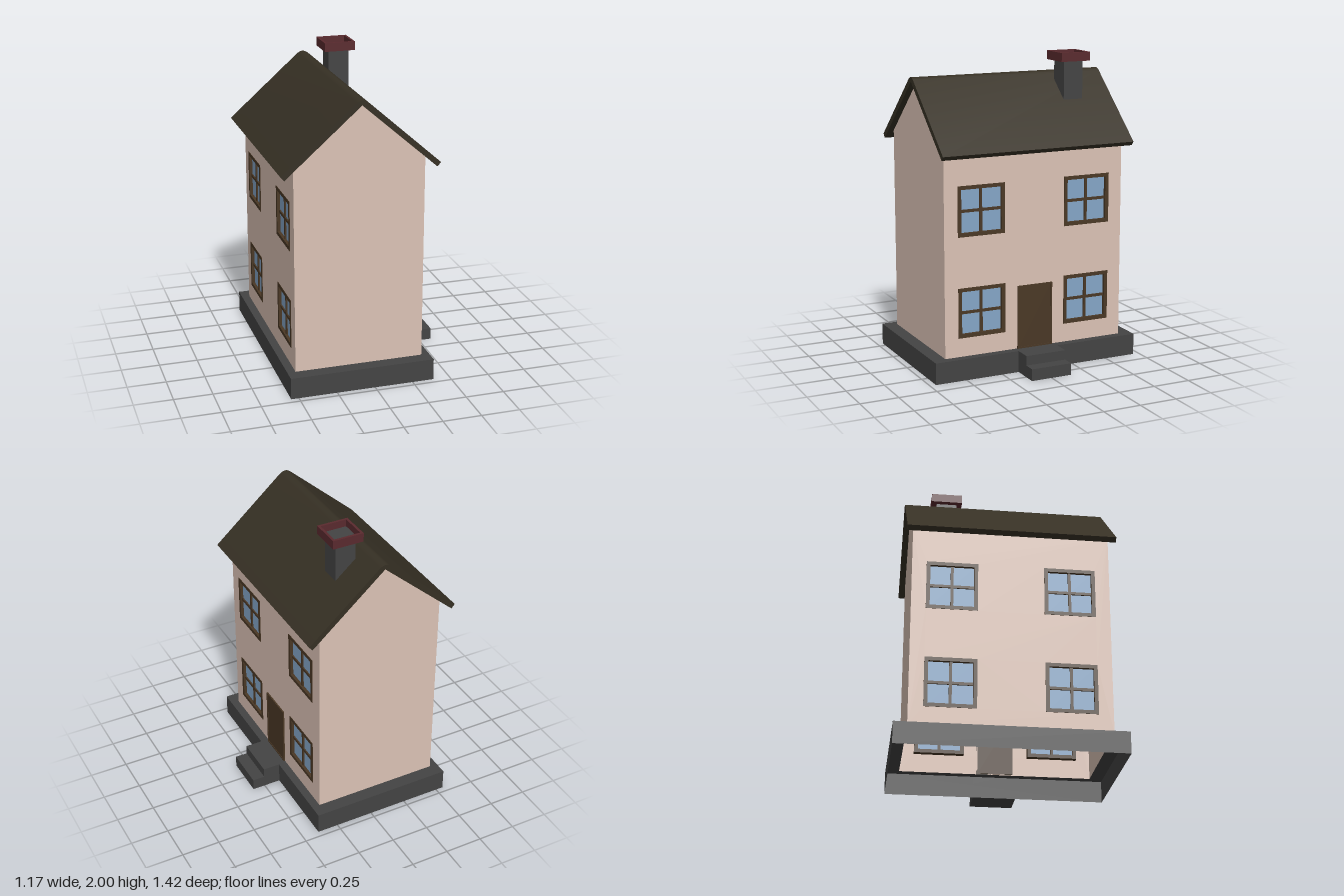
import * as THREE from 'three';
import { toCreasedNormals } from 'three/addons/utils/BufferGeometryUtils.js';

const mat = (color, side = THREE.FrontSide) => new THREE.MeshStandardMaterial({ color, side });
const plaster = mat(0xdcc3b6, THREE.DoubleSide);
const stone = mat(0x444444, THREE.DoubleSide);
const roofing = mat(0x363024);
const wood = mat(0x4a3825);
const glass = mat(0x85a6c8);
const brick = mat(0x5a2a2e);

const CX = -0.08;            // ridge line
const HALF_W = 0.417;        // half width of the house
const HALF_L = 0.623;        // half length of the house
const BASE_X = 0.47, BASE_Z = 0.71, BASE_Y = 0.14;
const EAVE_Y = 1.47, GABLE_Y = 1.836;

function add(parent, name, geometry, material, x = 0, y = 0, z = 0) {
  const mesh = new THREE.Mesh(geometry, material);
  mesh.name = name;
  mesh.position.set(x, y, z);
  parent.add(mesh);
  return mesh;
}

function box(parent, name, material, [x0, x1], [y0, y1], [z0, z1]) {
  return add(parent, name, new THREE.BoxGeometry(x1 - x0, y1 - y0, z1 - z0), material,
    (x0 + x1) / 2, (y0 + y1) / 2, (z0 + z1) / 2);
}

const poly = (points) => new THREE.Shape(points.map(([x, y]) => new THREE.Vector2(x, y)));

// Rectangle centred on (x, y)
const rect = (w, h, x = 0, y = 0) => poly([
  [x - w / 2, y - h / 2], [x + w / 2, y - h / 2], [x + w / 2, y + h / 2], [x - w / 2, y + h / 2]]);

// Rectangular border, extruded along z
function borderGeometry(w, h, t, depth) {
  const shape = rect(w, h);
  shape.holes.push(rect(w - 2 * t, h - 2 * t));
  return new THREE.ExtrudeGeometry(shape, { depth, bevelEnabled: false });
}

const WINDOW = 0.323;
function createWindow() {
  const g = new THREE.Group();
  g.name = 'window';
  add(g, 'windowFrame', borderGeometry(WINDOW, WINDOW, 0.024, 0.04), wood, 0, 0, -0.037);
  add(g, 'windowPane', new THREE.BoxGeometry(WINDOW - 0.048, WINDOW - 0.048, 0.006), glass, 0, 0, -0.02);
  add(g, 'verticalBar', new THREE.BoxGeometry(0.018, WINDOW - 0.048, 0.024), wood, 0, 0, -0.02);
  add(g, 'horizontalBar', new THREE.BoxGeometry(WINDOW - 0.048, 0.018, 0.024), wood, 0, 0, -0.02);
  return g;
}

// Long wall with four windows; local z points outwards
function createLongWall() {
  const g = new THREE.Group();
  g.name = 'longWall';
  const shape = rect(2 * HALF_L, EAVE_Y - BASE_Y, 0, (EAVE_Y + BASE_Y) / 2);
  for (const u of [-0.37, 0.37]) {
    for (const v of [0.423, 1.073]) {
      shape.holes.push(rect(WINDOW, WINDOW, u, v));
      const win = createWindow();
      win.position.set(u, v, 0);
      g.add(win);
    }
  }
  add(g, 'wallPanel', new THREE.ShapeGeometry(shape), plaster);
  return g;
}

function createDoor() {
  const g = new THREE.Group();
  g.name = 'door';
  const h = 0.415;
  add(g, 'doorFrame', borderGeometry(0.245, h, 0.01, 0.01), wood);
  add(g, 'doorPanel', new THREE.BoxGeometry(0.23, h - 0.01, 0.012), wood);
  g.position.set(CX + HALF_W, BASE_Y + h / 2, 0);
  g.rotation.y = Math.PI / 2;
  return g;
}

// Hollow plinth: four thin sides and a top rim, open underneath
function createBase() {
  const g = new THREE.Group();
  g.name = 'base';
  for (let i = 0; i < 4; i++) {
    const alongX = i % 2 === 0;
    const side = add(g, 'baseSide',
      new THREE.PlaneGeometry(2 * (alongX ? BASE_X : BASE_Z), BASE_Y).translate(0, BASE_Y / 2, alongX ? BASE_Z : BASE_X), stone);
    side.rotation.y = i * Math.PI / 2;
  }
  const rim = rect(2 * BASE_X, 2 * BASE_Z);
  rim.holes.push(rect(2 * HALF_W, 2 * HALF_L));
  add(g, 'baseRim', new THREE.ShapeGeometry(rim).rotateX(-Math.PI / 2), stone, 0, BASE_Y, 0);
  g.position.x = CX;
  return g;
}

// Folded roof with a rounded ridge
function createRoof() {
  const s = new THREE.Shape();
  s.moveTo(0.505, 1.44);
  s.lineTo(0.04, 1.85);
  s.quadraticCurveTo(0, 1.885, -0.04, 1.85);
  s.lineTo(-0.505, 1.44);
  s.lineTo(-0.482, 1.414);
  s.lineTo(0, 1.838);
  s.lineTo(0.482, 1.414);
  s.closePath();
  const geo = new THREE.ExtrudeGeometry(s, { depth: 1.324, bevelEnabled: false, curveSegments: 10 });
  const mesh = new THREE.Mesh(toCreasedNormals(geo, 0.5), roofing);
  mesh.name = 'roof';
  mesh.position.set(CX, 0, -0.662);
  return mesh;
}

function createChimney() {
  const g = new THREE.Group();
  g.name = 'chimney';
  const z = -0.375;
  // stack, its foot cut to the roof slope
  const stack = poly([[0, 1.8], [0.135, 1.68], [0.135, 1.947], [0, 1.947]]);
  add(g, 'chimneyStack', new THREE.ExtrudeGeometry(stack, { depth: 0.135, bevelEnabled: false }), stone, 0, 0, z - 0.0675);
  // open cap with a grey floor
  add(g, 'chimneyCap', borderGeometry(0.204, 0.204, 0.016, 0.057).rotateX(-Math.PI / 2), brick, 0.067, 1.943, z);
  box(g, 'capUnderside', brick, [-0.025, 0.159], [1.943, 1.95], [z - 0.092, z + 0.092]);
  box(g, 'flueFloor', stone, [-0.021, 0.155], [1.95, 1.954], [z - 0.088, z + 0.088]);
  return g;
}

export function createModel() {
  const house = new THREE.Group();
  house.name = 'house';
  house.add(createBase());

  // Long walls on both sides
  for (const s of [1, -1]) {
    const wall = createLongWall();
    wall.rotation.y = s * Math.PI / 2;
    wall.position.x = CX + s * HALF_W;
    house.add(wall);
  }

  // Gable walls at both ends
  const gable = new THREE.ShapeGeometry(poly([
    [-HALF_W, BASE_Y], [HALF_W, BASE_Y], [HALF_W, EAVE_Y], [0, GABLE_Y], [-HALF_W, EAVE_Y]]));
  for (const s of [1, -1]) {
    add(house, 'gableWall', gable, plaster, CX, 0, s * HALF_L).rotation.y = s > 0 ? 0 : Math.PI;
  }

  house.add(createDoor(), createRoof(), createChimney());

  // Doorsteps
  box(house, 'upperStep', stone, [0.39, 0.502], [0, 0.14], [-0.138, 0.138]);
  box(house, 'lowerStep', stone, [0.502, 0.583], [0, 0.077], [-0.138, 0.138]);
  return house;
}
